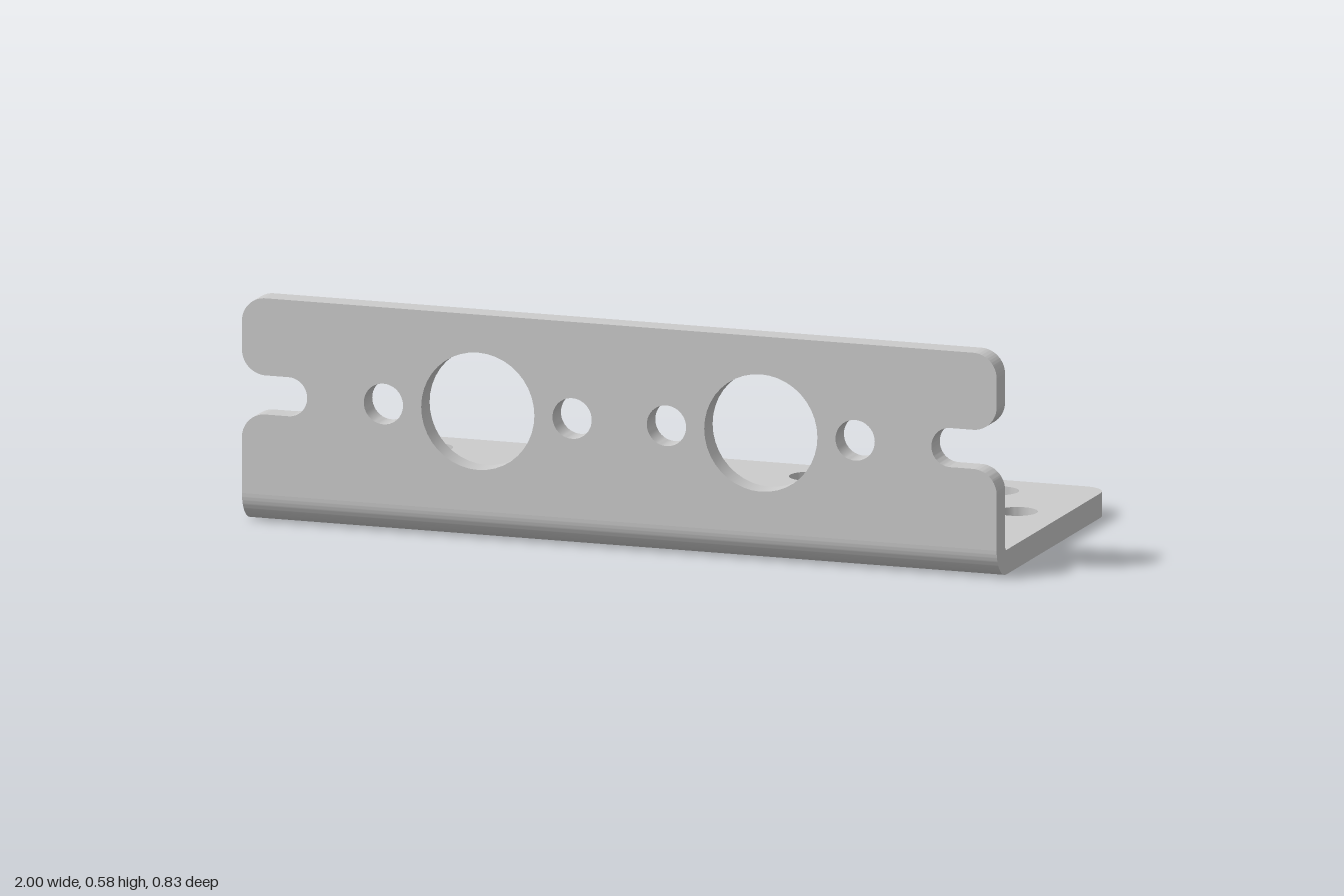
import * as THREE from 'three';
import { toCreasedNormals } from 'three/addons/utils/BufferGeometryUtils.js';

const PI = Math.PI;
const T = 0.0625;             // sheet thickness
const R = 0.075;              // outer bend radius
const FRONT = 0.417;          // outer face of the wall
const BEND_Z = FRONT - R;     // bend axis
const WALL_H = 0.577 - R;     // flat wall height above the bend
const FLOOR_L = BEND_Z + 0.417;
const CORNER = 0.0625;
const HOLE = 0.052;

function addHole(shape, x, y, r) {
  const hole = new THREE.Path();
  hole.absarc(x, y, r, 0, PI * 2, true);
  shape.holes.push(hole);
}

// Extrudes a shape, leaving out side faces that lie on a hidden joint
function extrude(shape, depth, onJoint) {
  const geo = new THREE.ExtrudeGeometry(shape, { depth, bevelEnabled: false, curveSegments: 20 });
  const p = geo.attributes.position;
  const kept = [];
  for (let i = 0; i < p.count; i += 3) {
    if ([i, i + 1, i + 2].every((k) => onJoint(p.getX(k), p.getY(k)))) continue;
    for (let k = i; k < i + 3; k++) kept.push(p.getX(k), p.getY(k), p.getZ(k));
  }
  const out = new THREE.BufferGeometry();
  out.setAttribute('position', new THREE.Float32BufferAttribute(kept, 3));
  return toCreasedNormals(out, 0.5);
}

// Upright wall with rounded top, open side slots and round cutouts
function wallGeometry() {
  const slotY = 0.33 - R, h = 0.05, slotX = 0.877, e = 1 - CORNER;
  const s = new THREE.Shape();
  s.moveTo(-1, 0);
  s.lineTo(1, 0);
  s.absarc(e, slotY - h - CORNER, CORNER, 0, PI / 2, false);
  s.absarc(slotX, slotY, h, -PI / 2, PI / 2, true);
  s.absarc(e, slotY + h + CORNER, CORNER, -PI / 2, 0, false);
  s.absarc(e, WALL_H - CORNER, CORNER, 0, PI / 2, false);
  s.absarc(-e, WALL_H - CORNER, CORNER, PI / 2, PI, false);
  s.absarc(-e, slotY + h + CORNER, CORNER, PI, PI * 1.5, false);
  s.absarc(-slotX, slotY, h, PI / 2, -PI / 2, true);
  s.absarc(-e, slotY - h - CORNER, CORNER, PI / 2, PI, false);
  s.lineTo(-1, 0);
  for (const side of [-1, 1]) {
    addHole(s, side * 0.375, slotY, 0.15);
    addHole(s, side * 0.125, slotY, HOLE);
    addHole(s, side * 0.625, slotY, HOLE);
  }
  return extrude(s, T, (x, y) => Math.abs(y) < 1e-5).translate(0, R, FRONT - T);
}

// Horizontal plate with three rows of holes
function floorGeometry() {
  const e = 1 - CORNER;
  const s = new THREE.Shape();
  s.moveTo(-1, 0);
  s.lineTo(1, 0);
  s.absarc(e, FLOOR_L - CORNER, CORNER, 0, PI / 2, false);
  s.absarc(-e, FLOOR_L - CORNER, CORNER, PI / 2, PI, false);
  s.lineTo(-1, 0);
  for (let i = 0; i < 8; i++) {
    for (const z of [-0.085, 0.165]) addHole(s, -0.875 + i * 0.25, BEND_Z - z, HOLE);
  }
  for (let i = 0; i < 4; i++) addHole(s, -0.75 + i * 0.5, BEND_Z + 0.295, HOLE);
  return extrude(s, T, (x, y) => Math.abs(y) < 1e-5).rotateX(-PI / 2).translate(0, 0, BEND_Z);
}

// Quarter-round bend joining wall and floor
function bendGeometry() {
  const s = new THREE.Shape();
  s.absarc(0, 0, R, PI, PI * 1.5, false);
  s.absarc(0, 0, R - T, PI * 1.5, PI, true);
  s.closePath();
  const onEnd = (x, y) => Math.abs(x) < 1e-5 || Math.abs(y) < 1e-5;
  return extrude(s, 2, onEnd).rotateY(PI / 2).translate(-1, R, BEND_Z);
}

export function createModel() {
  const group = new THREE.Group();
  group.name = 'angleBracket';
  const material = new THREE.MeshStandardMaterial({ color: 0xcccccc });
  const parts = { wallPlate: wallGeometry(), floorPlate: floorGeometry(), bend: bendGeometry() };
  for (const [name, geometry] of Object.entries(parts)) {
    const mesh = new THREE.Mesh(geometry, material);
    mesh.name = name;
    group.add(mesh);
  }
  return group;
}
